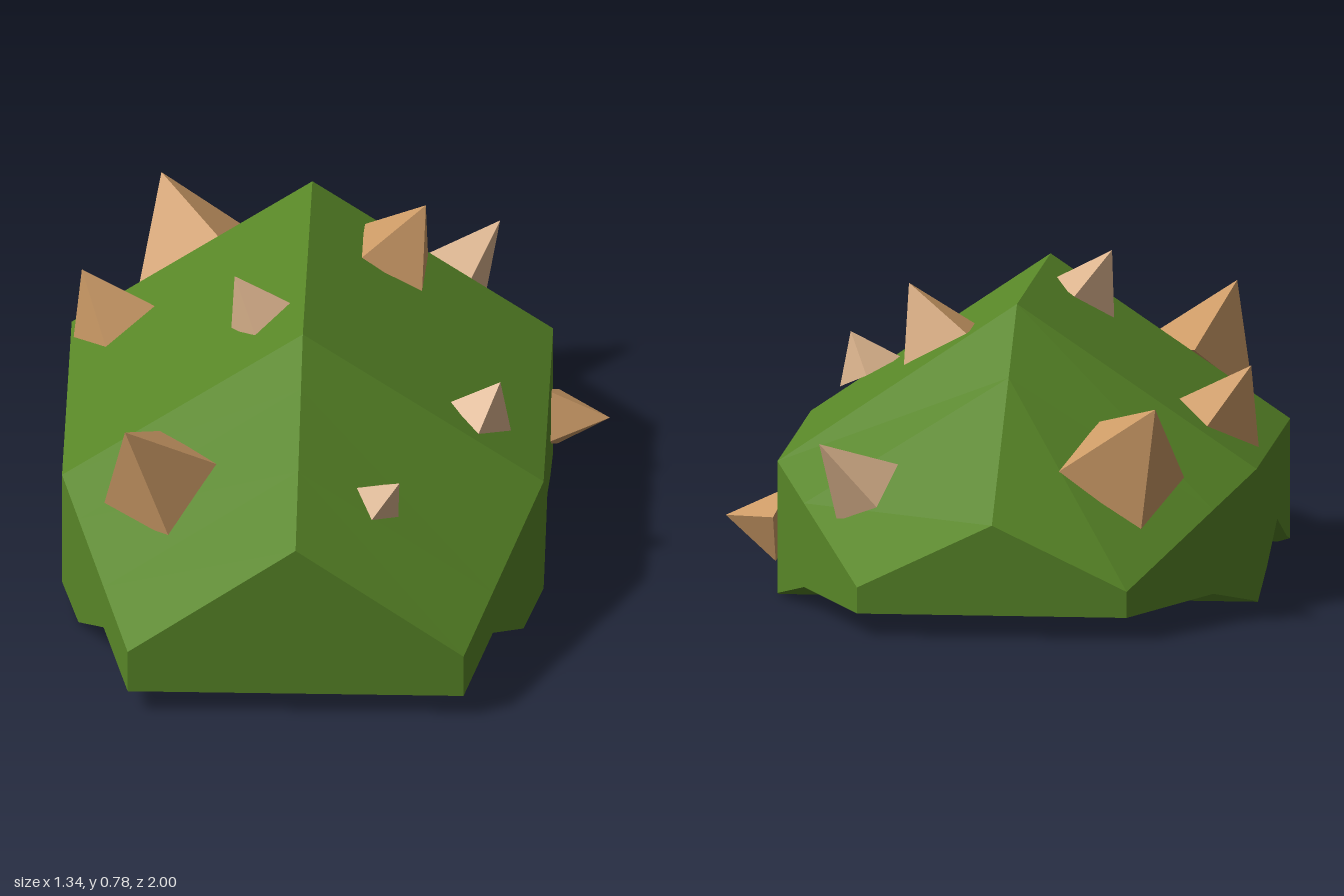
import * as THREE from 'three';

const mat = (name, color) => {
  const m = new THREE.MeshStandardMaterial({ color });
  m.name = name;
  return m;
};

// Piecewise linear lookup in rows sorted by falling z
function sample(rows, z) {
  let i = 0;
  while (i < rows.length - 2 && z < rows[i + 1][0]) i++;
  const [a, b] = [rows[i], rows[i + 1]];
  const t = (z - a[0]) / (b[0] - a[0]);
  return a.map((v, k) => v + (b[k] - v) * t);
}

const CENTRE = -0.075;
// z, half width, shoulder height, ridge height
const HULL = [[1, 0.415, 0.215, 0.505], [0.4, 0.595, 0.387, 0.79], [-0.4, 0.595, 0.387, 0.79], [-1, 0.335, 0.17, 0.33]];
// z, height of the wavy underside
const BELLY = [[1, 0.105], [0.78, 0.165], [0.55, 0.055], [0.32, 0.105], [0.09, 0.185],
  [-0.15, 0.105], [-0.37, 0.05], [-0.6, 0.105], [-1, 0.105]];

// Ridged shell lofted from five-point cross-sections
function bodyGeometry() {
  const zs = [...new Set([...HULL, ...BELLY].map(r => r[0]))].sort((a, b) => b - a);
  const sections = zs.map(z => {
    const [, w, shoulder, ridge] = sample(HULL, z);
    const low = sample(BELLY, z)[1];
    return [[-w, low], [w, low], [w, shoulder], [0, ridge], [-w, shoulder]].map(([x, y]) => [CENTRE + x, y, z]);
  });
  const pos = [];
  const tri = (...p) => p.forEach(v => pos.push(...v));
  for (let i = 0; i < sections.length - 1; i++) {
    for (let j = 0; j < 5; j++) {
      const k = (j + 1) % 5;
      const [a, b, c, d] = [sections[i][j], sections[i][k], sections[i + 1][k], sections[i + 1][j]];
      tri(a, d, c);
      tri(a, c, b);
    }
  }
  const front = sections[0], back = sections[sections.length - 1];
  for (let j = 1; j < 4; j++) {
    tri(front[0], front[j], front[j + 1]);
    tri(back[0], back[j + 1], back[j]);
  }
  const g = new THREE.BufferGeometry();
  g.setAttribute('position', new THREE.Float32BufferAttribute(pos, 3));
  g.computeVertexNormals();
  return g;
}

// Four-sided spike from base centre, tip and one base corner
function spikeGeometry(base, tip, corner) {
  const b = new THREE.Vector3(...base);
  const axis = new THREE.Vector3(...tip).sub(b);
  const h = axis.length();
  axis.normalize();
  const side = new THREE.Vector3(...corner).sub(b);
  const r = side.length();
  side.addScaledVector(axis, -side.dot(axis)).normalize();
  const g = new THREE.ConeGeometry(r, h, 4).toNonIndexed();
  g.translate(0, h / 2, 0);
  const m = new THREE.Matrix4().makeBasis(new THREE.Vector3().crossVectors(axis, side), axis, side);
  g.applyMatrix4(m.setPosition(b));
  g.computeVertexNormals();
  return g;
}

export function createModel() {
  const green = mat('shellGreen', 0x588627);
  const tan = mat('spikeTan', 0xcb9a66);
  const beige = mat('spikeBeige', 0xdab28c);
  const group = new THREE.Group();
  const add = (name, geometry, material) => {
    const mesh = new THREE.Mesh(geometry, material);
    mesh.name = name;
    group.add(mesh);
  };

  add('shell', bodyGeometry(), green);

  // name, material, base centre, tip, base corner
  const spikes = [
    ['frontRightSpike', tan, [-0.41, 0.47, 0.6], [-0.505, 0.68, 0.72], [-0.4, 0.41, 0.75]],
    ['frontLeftSpike', beige, [0.12, 0.51, 0.75], [0.175, 0.58, 0.78], [0.135, 0.53, 0.69]],
    ['middleLeftSpike', beige, [0.36, 0.505, 0.285], [0.41, 0.605, 0.29], [0.36, 0.505, 0.2]],
    ['middleRightSpike', beige, [-0.18, 0.715, 0.17], [-0.25, 0.835, 0.185], [-0.165, 0.73, 0.08]],
    ['upperLeftSpike', tan, [0.13, 0.66, -0.25], [0.21, 0.813, -0.24], [0.2, 0.61, -0.16]],
    ['outerRightSpike', tan, [-0.56, 0.475, -0.24], [-0.64, 0.62, -0.24], [-0.54, 0.48, -0.355]],
    ['lowerLeftSpike', tan, [0.52, 0.21, -0.27], [0.665, 0.225, -0.24], [0.52, 0.3, -0.24]],
    ['rearLeftSpike', beige, [0.265, 0.36, -0.7], [0.378, 0.49, -0.768], [0.305, 0.39, -0.61]],
    ['rearRightSpike', tan, [-0.36, 0.41, -0.68], [-0.46, 0.595, -0.8], [-0.225, 0.45, -0.79]],
  ];
  for (const [name, material, base, tip, corner] of spikes) add(name, spikeGeometry(base, tip, corner), material);

  return group;
}
